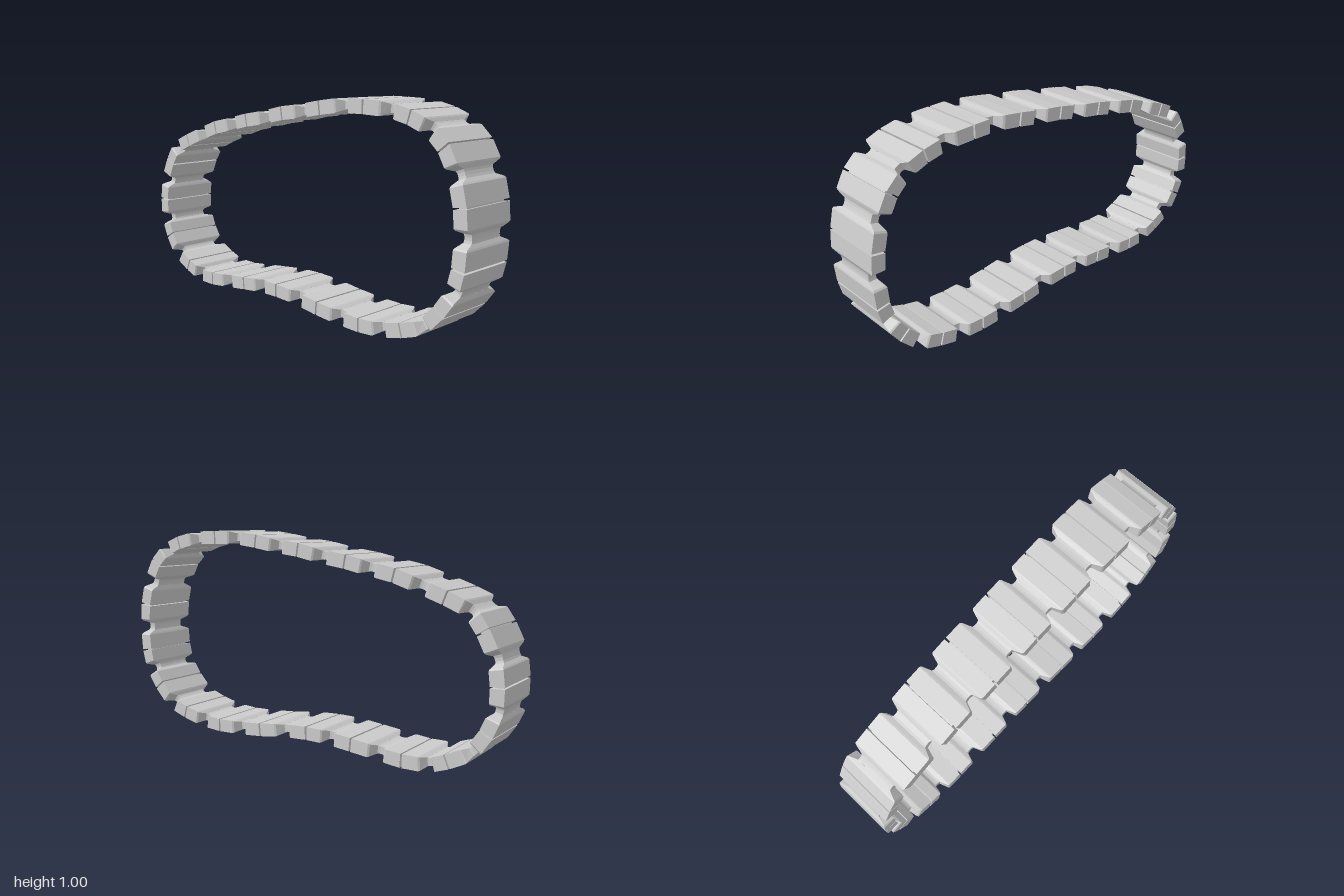
import * as THREE from 'three';

// Centre line of the closed band as z, y pairs: alternately the seam in the
// middle of a link and the narrow neck that joins it to the next link.
const PATH = [
  0.48, 0.97, 0.36, 0.97, 0.23, 0.955, 0.11, 0.935, -0.01, 0.92, -0.13, 0.895,
  -0.26, 0.875, -0.375, 0.85, -0.5, 0.825, -0.62, 0.785, -0.735, 0.745, -0.84, 0.695,
  -0.9, 0.62, -0.95, 0.51, -0.967, 0.405, -0.96, 0.3, -0.925, 0.21, -0.86, 0.125,
  -0.76, 0.07, -0.67, 0.042, -0.55, 0.037, -0.43, 0.05, -0.295, 0.065, -0.175, 0.077,
  -0.055, 0.08, 0.08, 0.072, 0.215, 0.055, 0.345, 0.045, 0.47, 0.04, 0.585, 0.05,
  0.7, 0.075, 0.8, 0.115, 0.885, 0.195, 0.94, 0.28, 0.968, 0.375, 0.975, 0.495,
  0.968, 0.615, 0.935, 0.735, 0.885, 0.835, 0.81, 0.9, 0.72, 0.94, 0.61, 0.963,
];
const LINKS = PATH.length / 4;

// Stations: [position along the link, half width, half thickness]
const PLATE = [
  [0.018, 0.146, 0.031], [0.33, 0.146, 0.031], [0.36, 0.14, 0.028], [0.425, 0.098, 0.019],
];
const NECK = [[0.42, 0.098, 0.019], [0.47, 0.095, 0.017], [0.53, 0.095, 0.017], [0.58, 0.098, 0.019]];
const CORE = [[-0.03, 0.125, 0.018], [0.03, 0.125, 0.018]];

// Rectangular sections lofted along the curve, closed at both ends
function loft(curve, link, stations) {
  const rings = stations.map(([s, w, h]) => {
    const t = (((link + s) / LINKS) % 1 + 1) % 1;
    const p = curve.getPoint(t);
    const d = curve.getTangent(t);
    const n = new THREE.Vector3(0, -d.z, d.y);
    return [[-w, -h], [w, -h], [w, h], [-w, h]].map(([x, k]) =>
      p.clone().addScaledVector(n, k).setX(x));
  });
  const pts = [];
  const quad = (a, b, c, d) => pts.push(a, b, c, a, c, d);
  for (let k = 0; k < rings.length - 1; k++) {
    for (let j = 0; j < 4; j++) {
      const m = (j + 1) % 4;
      quad(rings[k][j], rings[k + 1][j], rings[k + 1][m], rings[k][m]);
    }
  }
  const [a, b, c, d] = rings[0];
  quad(a, b, c, d);
  const [e, f, g, h] = rings[rings.length - 1];
  quad(h, g, f, e);
  const geometry = new THREE.BufferGeometry().setFromPoints(pts);
  geometry.computeVertexNormals();
  return geometry;
}

export function createModel() {
  const band = new THREE.Group();
  band.name = 'linkedBand';
  const material = new THREE.MeshStandardMaterial({ color: 0xcccccc, flatShading: true });

  const points = [];
  for (let i = 0; i < PATH.length; i += 2) points.push(new THREE.Vector3(0, PATH[i + 1], PATH[i]));
  const curve = new THREE.CatmullRomCurve3(points, true, 'centripetal');

  const mirrored = PLATE.map(([s, w, h]) => [-s, w, h]).reverse();
  const parts = { leadingPlate: PLATE, trailingPlate: mirrored, neck: NECK, seamCore: CORE };

  for (let i = 0; i < LINKS; i++) {
    const link = new THREE.Group();
    link.name = `link${i + 1}`;
    for (const [name, stations] of Object.entries(parts)) {
      const mesh = new THREE.Mesh(loft(curve, i, stations), material);
      mesh.name = name;
      link.add(mesh);
    }
    band.add(link);
  }

  // Rest on the ground, centred front to back
  const box = new THREE.Box3().setFromObject(band);
  band.position.set(0, -box.min.y, -(box.min.z + box.max.z) / 2);
  const model = new THREE.Group();
  model.name = 'band';
  model.add(band);
  return model;
}
